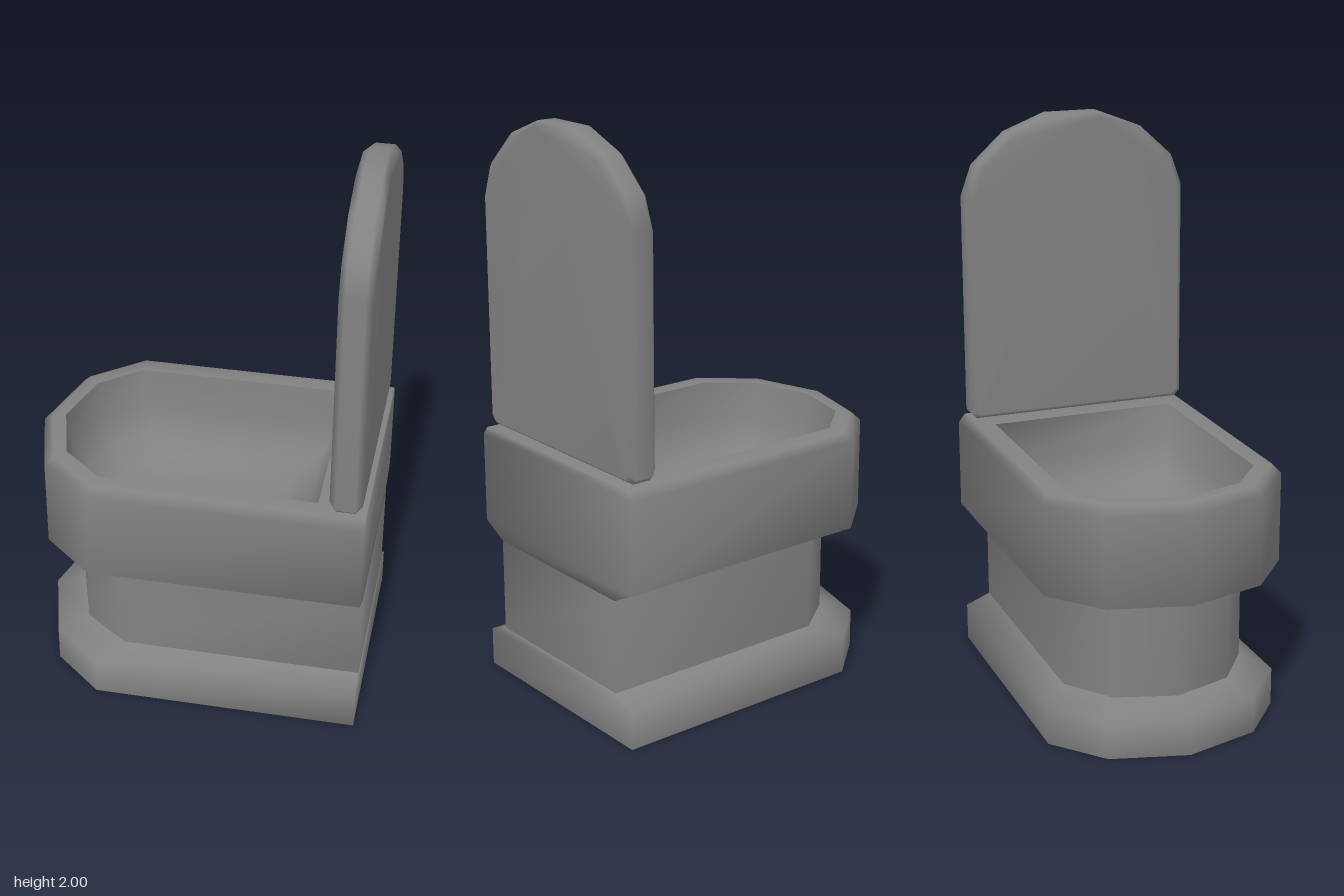
import * as THREE from 'three';

const BACK = 0.6;

// Closed, smooth-shaded skin over a stack of rings, with optional end caps
function loft(name, rings, material, { startCap = false, endCap = false } = {}) {
  const n = rings[0].length;
  const index = [];
  for (let i = 0; i < rings.length - 1; i++) {
    for (let j = 0; j < n; j++) {
      const a = i * n + j, b = i * n + (j + 1) % n;
      index.push(a, b, b + n, a, b + n, a + n);
    }
  }
  const last = (rings.length - 1) * n;
  for (let j = 1; j < n - 1; j++) {
    if (startCap) index.push(0, j + 1, j);
    if (endCap) index.push(last, last + j, last + j + 1);
  }
  const geometry = new THREE.BufferGeometry();
  geometry.setAttribute('position', new THREE.Float32BufferAttribute(rings.flat(2), 3));
  geometry.setIndex(index);
  geometry.computeVertexNormals();
  const mesh = new THREE.Mesh(geometry, material);
  mesh.name = name;
  return mesh;
}

// Horizontal outline: square at the back (+x), faceted nose at the front (-x)
function outline(y, front, halfWidth, back = BACK) {
  const half = [[0, 1], [0.788, 1], [0.9375, 0.64]]; // share of length, share of half width
  const at = ([l, w], side) => [back + (front - back) * l, y, side * halfWidth * w];
  return [
    at(half[0], 1),
    ...half.map((p) => at(p, -1)),
    [front, y, 0],
    at(half[2], 1),
    at(half[1], 1),
  ];
}

// Basin outline at a given height, shrunk about its middle
function basinRing(y, scale) {
  const middle = -0.0425, halfLength = 0.4775;
  return outline(y, middle - halfLength * scale, 0.34 * scale, middle + halfLength * scale);
}

// Upright lid outline at a given x, shrunk about its middle for the bevel
function lidRing(x, scaleZ, scaleY) {
  const half = [[0.39, 0.91], [0.41, 0.93], [0.41, 1.72], [0.37, 1.83], [0.25, 1.94], [0.095, 2]];
  const left = [...half].reverse();
  const right = half.map(([z, y]) => [-z, y]);
  const middle = 1.455;
  return [...left, ...right].map(([z, y]) => [x, middle + (y - middle) * scaleY, z * scaleZ]);
}

export function createModel() {
  const group = new THREE.Group();
  group.name = 'toilet';
  const material = new THREE.MeshStandardMaterial({ color: 0x828282 });

  // Foot with a sloped top; the narrow first band keeps the underside flat
  group.add(loft('base', [
    outline(0, -0.565, 0.4, 0.585),
    outline(0, -0.585, 0.418),
    outline(0.135, -0.585, 0.418),
    outline(0.17, -0.475, 0.33),
  ], material, { startCap: true }));

  // Straight column
  group.add(loft('pedestal', [
    outline(0.17, -0.475, 0.33),
    outline(0.5, -0.475, 0.33),
  ], material));

  // Bowl: flared underside, outer wall, bevelled edge and flat rim
  group.add(loft('bowl', [
    outline(0.5, -0.475, 0.33),
    outline(0.55, -0.6, 0.43),
    outline(0.87, -0.6, 0.43),
    outline(0.9, -0.57, 0.405),
    outline(0.9, -0.52, 0.34, 0.435),
  ], material));

  // Rounded hollow, meeting the rim in a sharp edge
  const basinProfile = [[0.9, 1], [0.76, 0.96], [0.66, 0.85], [0.6, 0.65], [0.58, 0.35]];
  group.add(loft('basin', basinProfile.map(([y, s]) => basinRing(y, s)), material, { endCap: true }));

  // Raised lid with bevelled edges
  group.add(loft('lid', [
    lidRing(0.478, 0.95, 0.967),
    lidRing(0.5, 1, 1),
    lidRing(0.565, 1, 1),
    lidRing(0.587, 0.95, 0.967),
  ], material, { startCap: true, endCap: true }));

  return group;
}
